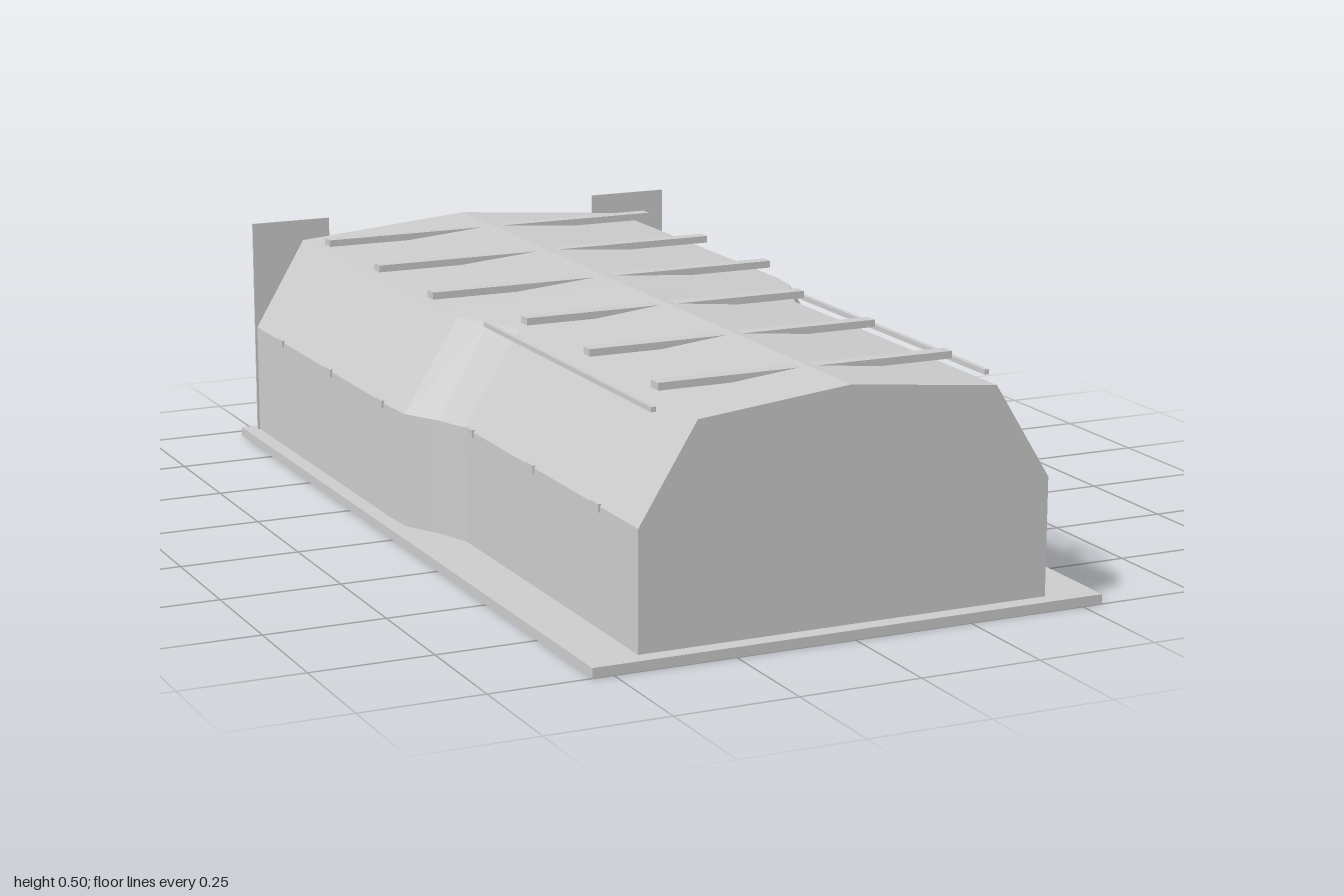
import * as THREE from 'three';

const mat = new THREE.MeshStandardMaterial({ color: 0xcccccc, flatShading: true, side: THREE.DoubleSide });

function add(parent, name, geometry, x = 0, y = 0, z = 0) {
  const mesh = new THREE.Mesh(geometry, mat);
  mesh.name = name;
  mesh.position.set(x, y, z);
  parent.add(mesh);
  return mesh;
}

function box(parent, name, w, h, d, x, y, z) {
  return add(parent, name, new THREE.BoxGeometry(w, h, d), x, y, z);
}

// Skins rows of equally many points with flat quads
function skin(rows) {
  const pos = [];
  for (let r = 0; r < rows.length - 1; r++) {
    for (let i = 0; i < rows[r].length - 1; i++) {
      const a = rows[r][i], b = rows[r][i + 1], c = rows[r + 1][i + 1], d = rows[r + 1][i];
      pos.push(...a, ...b, ...c, ...a, ...c, ...d);
    }
  }
  const g = new THREE.BufferGeometry();
  g.setAttribute('position', new THREE.Float32BufferAttribute(pos, 3));
  g.computeVertexNormals();
  return g;
}

const FLOOR = 0.02, SHOULDER = 0.26, EAVE = 0.453, RIDGE = 0.486, BACK = -0.93;

// Stations along the hull: z, wall half-width, eave half-width
const STATIONS = [
  [0.965, 0.435, 0.315], [0.14, 0.435, 0.315], [0.06, 0.463, 0.35],
  [-0.02, 0.505, 0.385], [-0.1, 0.51, 0.395], [BACK, 0.51, 0.395],
];

const section = ([z, wall, eave]) => [
  [wall, FLOOR, z], [wall, SHOULDER, z], [eave, EAVE, z], [0, RIDGE, z],
  [-eave, EAVE, z], [-wall, SHOULDER, z], [-wall, FLOOR, z],
];

const DOOR_HALF = 0.33, DOOR_BULGE = 0.063;
const doorZ = (x) => BACK - DOOR_BULGE * (1 - (x / DOOR_HALF) ** 2);
const roofY = (x) => RIDGE - (RIDGE - EAVE) * Math.abs(x) / 0.395;

export function createModel() {
  const model = new THREE.Group();
  model.name = 'shelter';

  box(model, 'basePlate', 1.086, FLOOR, 1.96, 0, FLOOR / 2, 0.02);

  // Hull walls and roof, widening toward the back, with a flat front wall
  add(model, 'hull', skin(STATIONS.map(section)));
  const outline = new THREE.Shape(section(STATIONS[0]).map(([x, y]) => new THREE.Vector2(x, y)));
  add(model, 'frontWall', new THREE.ShapeGeometry(outline), 0, 0, STATIONS[0][0]);

  // Frames: a bar across the roof and small wall clips at the shoulder
  const frames = new THREE.Group();
  frames.name = 'frames';
  model.add(frames);
  for (const z of [0.78, 0.472, 0.165, -0.145, -0.455, -0.765]) {
    const front = z > 0;
    box(frames, 'roofBar', front ? 0.63 : 0.79, 0.015, 0.03, 0, 0.4765, z);
    for (const s of [-1, 1]) {
      box(frames, 'wallClip', 0.012, 0.016, 0.036, s * (front ? 0.433 : 0.508), 0.257, z);
    }
  }

  // Long rails beside the eaves of the narrow front half
  for (const s of [-1, 1]) {
    box(model, 'eaveRail', 0.01, 0.01, 0.8, s * 0.355, 0.452, 0.46);
  }

  // Flat panels flanking the back door
  for (const s of [-1, 1]) {
    box(model, 'backPanel', 0.184, 0.5 - FLOOR, 0.004, s * 0.423, (0.5 + FLOOR) / 2, BACK);
  }

  // Bowed back door with sloped skirts above and below
  const xs = Array.from({ length: 21 }, (_, i) => DOOR_HALF * (i / 10 - 1));
  const sill = xs.map((x) => [x, FLOOR, BACK]);
  const low = xs.map((x) => [x, 0.13, doorZ(x)]);
  const high = xs.map((x) => [x, 0.42, doorZ(x)]);
  const head = xs.map((x) => [x, roofY(x), BACK]);
  add(model, 'backDoor', skin([head, high, low, sill]));

  // Clips along the upper and lower edges of the door
  const clips = new THREE.Group();
  clips.name = 'doorClips';
  model.add(clips);
  for (const y of [0.13, 0.415]) {
    for (let i = 0; i < 13; i++) {
      const x = (i - 6) * 0.053;
      const clip = box(clips, 'doorClip', 0.026, 0.016, 0.014, x, y, doorZ(x));
      clip.rotation.y = -Math.atan(2 * DOOR_BULGE * x / DOOR_HALF ** 2);
    }
  }
  box(model, 'doorSeam', 0.006, 0.29, 0.006, -0.12, 0.275, doorZ(-0.12));

  return model;
}
